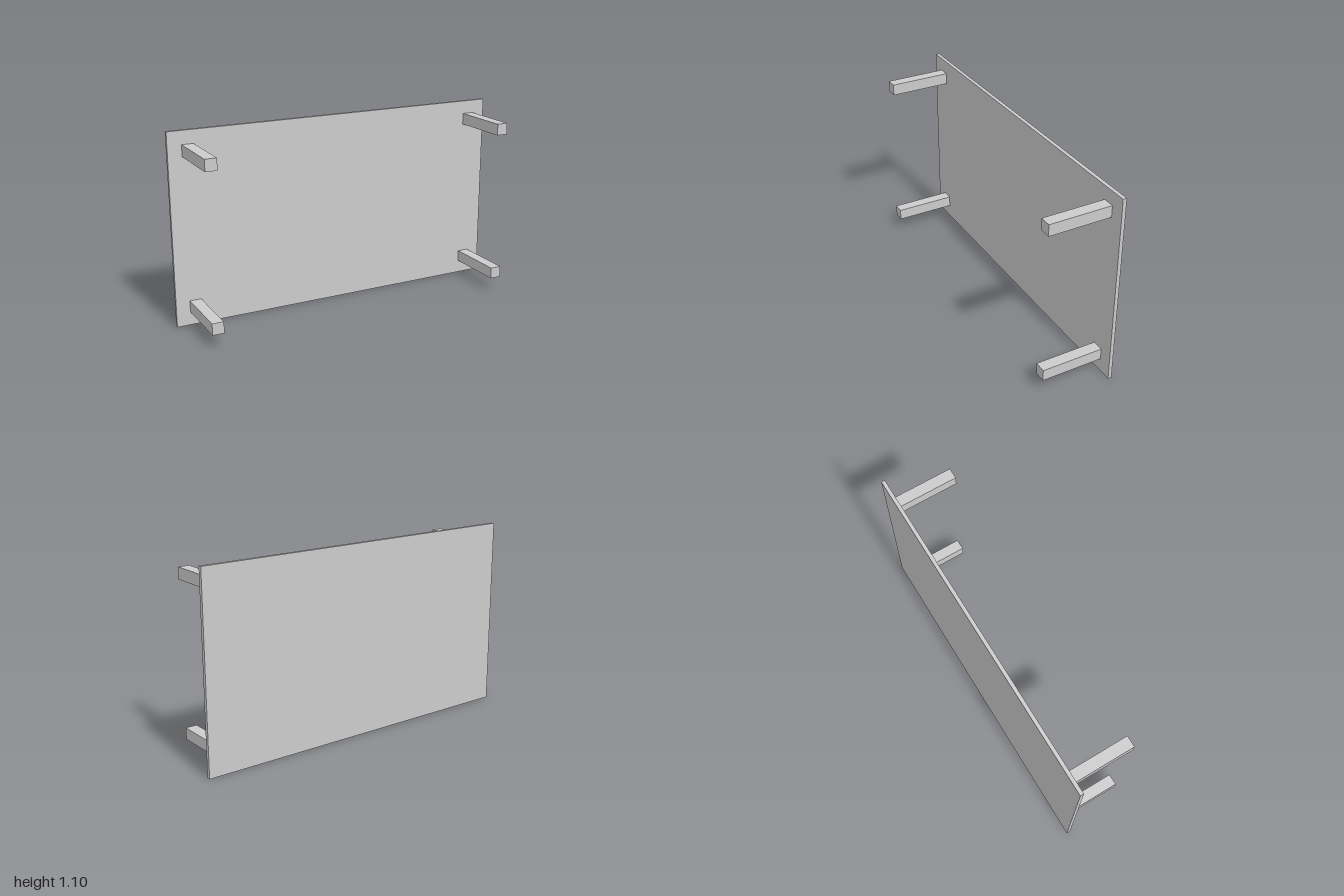
import * as THREE from 'three';

const WIDTH = 2, HEIGHT = 1.103, THICKNESS = 0.021, DEPTH = 0.377;
const LEG = 0.066, LEG_LENGTH = DEPTH - THICKNESS;
const LEG_X = 0.888, LEG_Y = 0.442; // leg offsets from the centre of the top

export function createModel() {
  const table = new THREE.Group();
  table.name = 'tableOnItsSide';
  const material = new THREE.MeshStandardMaterial({ color: 0xcccccc });

  // Table top, standing on its long edge at the back
  const top = new THREE.Mesh(new THREE.BoxGeometry(WIDTH, HEIGHT, THICKNESS), material);
  top.name = 'tableTop';
  top.position.set(0, HEIGHT / 2, (THICKNESS - DEPTH) / 2);
  table.add(top);

  // Four square legs pointing forward from the top
  const legGeometry = new THREE.BoxGeometry(LEG, LEG, LEG_LENGTH);
  for (const [side, sx] of [['Left', 1], ['Right', -1]]) {
    for (const [level, sy] of [['upper', 1], ['lower', -1]]) {
      const leg = new THREE.Mesh(legGeometry, material);
      leg.name = `${level}${side}Leg`;
      leg.position.set(sx * LEG_X, HEIGHT / 2 + sy * LEG_Y, THICKNESS / 2);
      table.add(leg);
    }
  }
  return table;
}
